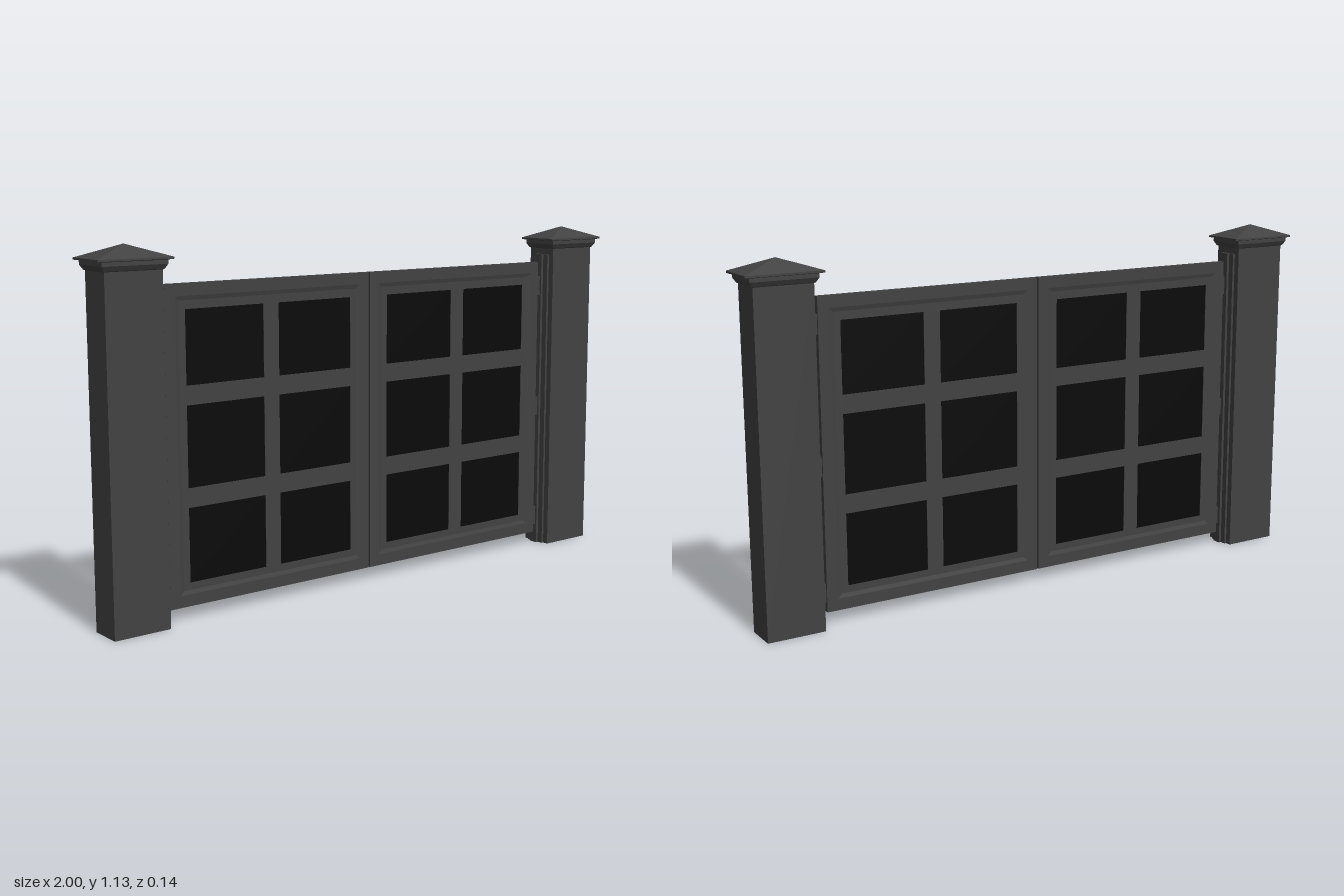
import * as THREE from 'three';

const metal = new THREE.MeshStandardMaterial({ color: 0x424242 });
metal.name = 'charcoalMetal';
const black = new THREE.MeshStandardMaterial({ color: 0x0a0a0a });
black.name = 'blackPanel';

// Rectangular loops [halfX, halfZ, y] joined by flat faces, optionally closed at the bottom
function loft(loops, closeBottom = false) {
  const corners = [[1, 1], [1, -1], [-1, -1], [-1, 1]];
  const pos = [];
  const point = ([hx, hz, y], c) => [corners[c % 4][0] * hx, y, corners[c % 4][1] * hz];
  for (let i = 0; i < loops.length - 1; i++) {
    for (let c = 0; c < 4; c++) {
      const a = point(loops[i], c), b = point(loops[i], c + 1);
      const d = point(loops[i + 1], c), e = point(loops[i + 1], c + 1);
      pos.push(...a, ...b, ...e);
      if (loops[i + 1][0] > 0) pos.push(...a, ...e, ...d);
    }
  }
  if (closeBottom) {
    const [a, b, c, d] = [0, 1, 2, 3].map((k) => point(loops[0], k));
    pos.push(...a, ...c, ...b, ...a, ...d, ...c);
  }
  const g = new THREE.BufferGeometry();
  g.setAttribute('position', new THREE.Float32BufferAttribute(pos, 3));
  g.computeVertexNormals();
  return g;
}

function add(parent, name, geometry, material, x = 0, y = 0, z = 0) {
  const m = new THREE.Mesh(geometry, material);
  m.name = name;
  m.position.set(x, y, z);
  parent.add(m);
  return m;
}

const box = (w, h, d) => new THREE.BoxGeometry(w, h, d);

function rectPath(Type, x0, x1, y0, y1) {
  return new Type([[x0, y0], [x1, y0], [x1, y1], [x0, y1]].map((p) => new THREE.Vector2(...p)));
}

// Post with moulded pyramid cap
function makePost(side) {
  const post = new THREE.Group();
  post.name = side > 0 ? 'leftPost' : 'rightPost';
  const x = side * 0.8785;
  add(post, 'postShaft', loft([[0.0935, 0.055, 0], [0.0935, 0.055, 1.07]], true), metal, x);
  add(post, 'postCap', loft([
    [0.094, 0.0555, 1.06], [0.098, 0.058, 1.062], [0.106, 0.066, 1.076], [0.106, 0.066, 1.088],
    [0.1215, 0.0725, 1.09], [0.1215, 0.0725, 1.096], [0, 0, 1.134],
  ], true), metal, x);
  // Jamb strips on the inner face
  add(post, 'jambPlate', box(0.008, 1.04, 0.07), metal, side * 0.781, 0.52);
  add(post, 'jambStop', box(0.009, 1.04, 0.03), metal, side * 0.7725, 0.52);
  return post;
}

// Hinge: two plates and a barrel of three knuckles
function makeHinge(side, y) {
  const hinge = new THREE.Group();
  hinge.name = 'hinge';
  add(hinge, 'hingePlate', box(0.016, 0.06, 0.008), metal, side * 0.762, y);
  for (let i = -1; i <= 1; i++) {
    add(hinge, 'hingeKnuckle', new THREE.CylinderGeometry(0.006, 0.006, 0.021, 12), metal,
      side * 0.7635, y + i * 0.0225, 0.005);
  }
  return hinge;
}

// Gate leaf: bevelled rim, flat grid and dark panels
function makeLeaf(side) {
  const leaf = new THREE.Group();
  leaf.name = side > 0 ? 'leftGateLeaf' : 'rightGateLeaf';
  const hx = 0.3775, hy = 0.4865, cx = side * 0.3805, cy = 0.5265;
  const rim = [[0.05, -0.006], [0.037, -0.0095], [0, -0.0095], [0, 0.0095], [0.037, 0.0095], [0.05, 0.006]];
  const rimGeometry = loft(rim.map(([inset, z]) => [hx - inset, hy - inset, z]));
  rimGeometry.rotateX(Math.PI / 2);
  add(leaf, 'gateRim', rimGeometry, metal, cx, cy);

  const columns = [[0.075, 0.352], [0.408, 0.685]];
  const rows = [[0.112, 0.342], [0.402, 0.652], [0.711, 0.937]];
  const shape = rectPath(THREE.Shape, -hx + 0.01, hx - 0.01, -hy + 0.01, hy - 0.01);
  for (const [x0, x1] of columns) {
    for (const [y0, y1] of rows) {
      const a = side * x0 - cx, b = side * x1 - cx;
      shape.holes.push(rectPath(THREE.Path, Math.min(a, b), Math.max(a, b), y0 - cy, y1 - cy));
      add(leaf, 'panel', box(x1 - x0, y1 - y0, 0.008), black, side * (x0 + x1) / 2, (y0 + y1) / 2);
    }
  }
  const grid = new THREE.ExtrudeGeometry(shape, { depth: 0.012, bevelEnabled: false });
  add(leaf, 'gateGrid', grid, metal, cx, cy, -0.006);
  return leaf;
}

export function createModel() {
  const model = new THREE.Group();
  model.name = 'doubleGate';
  for (const side of [-1, 1]) {
    model.add(makePost(side), makeLeaf(side));
    for (const y of [0.1, 0.5, 0.93]) model.add(makeHinge(side, y));
  }
  return model;
}
